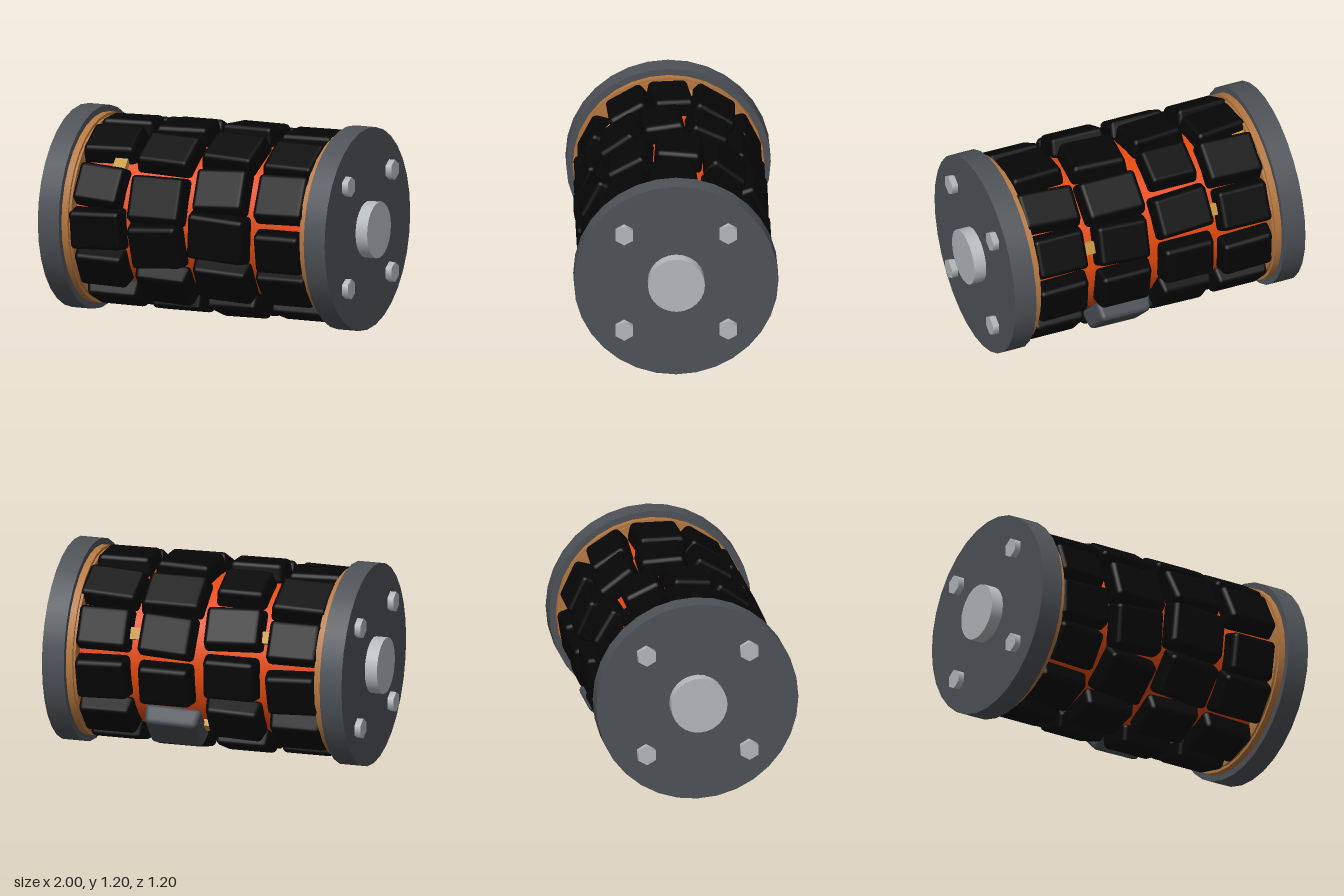
import * as THREE from 'three';
import { RoundedBoxGeometry } from 'three/addons/geometries/RoundedBoxGeometry.js';

const mat = (name, color) => Object.assign(new THREE.MeshStandardMaterial({ color }), { name });

export function createModel() {
  const steel = mat('darkSteel', 0x4e5257);
  const light = mat('lightSteel', 0xb4b9bc);
  const orange = mat('orangeCore', 0xe64a0e);
  const copper = mat('copper', 0xb5773f);
  const gold = mat('gold', 0xc9973f);
  const black = mat('blackRubber', 0x060606);
  const grey = mat('greyRubber', 0x484c51);

  const group = new THREE.Group();
  const drum = new THREE.Group();
  drum.name = 'drum';
  drum.position.y = 0.6;
  group.add(drum);

  const add = (name, geo, material) => {
    const mesh = new THREE.Mesh(geo, material);
    mesh.name = name;
    drum.add(mesh);
    return mesh;
  };
  // Cylinder lying along x between x0 and x1
  const rod = (name, r, x0, x1, sides, material, start = 0) => {
    const geo = new THREE.CylinderGeometry(r, r, x1 - x0, sides, 1, false, start);
    geo.rotateZ(-Math.PI / 2);
    return add(name, geo.translate((x0 + x1) / 2, 0, 0), material);
  };

  rod('core', 0.465, -0.78, 0.78, 32, orange);

  // End assemblies
  for (const s of [-1, 1]) {
    const side = (name, r, a, b, n, m, start) =>
      rod(name, r, Math.min(s * a, s * b), Math.max(s * a, s * b), n, m, start);
    side('flange', 0.6, 0.79, 0.925, 32, steel);
    side('ring', 0.545, 0.737, 0.78, 32, copper);
    side('ringLip', 0.562, 0.75, 0.792, 32, copper);
    side('shaft', 0.167, 0.9, 1, 24, light);
    for (const y of [-0.305, 0.305]) {
      for (const z of [-0.305, 0.305]) {
        side('bolt', 0.06, 0.9, 0.963, 6, light, Math.PI / 6).position.set(0, y, z);
      }
    }
  }

  // Places a part outside the core, at an angle measured upward from the front
  const onDrum = (mesh, x, degrees, r, twist = 0) => {
    const pivot = new THREE.Group();
    pivot.name = mesh.name + 'Mount';
    pivot.rotation.x = -THREE.MathUtils.degToRad(degrees);
    mesh.position.set(x, 0, r);
    mesh.rotation.z = twist;
    pivot.add(mesh);
    drum.add(pivot);
  };

  // Rounded pad that tapers toward its outer face at radius r
  const addPad = (name, material, x, r, [angle, w = 0.325, h = 0.25, twist = 0]) => {
    const geo = new RoundedBoxGeometry(w, h, 0.12, 2, 0.028);
    const p = geo.attributes.position;
    for (let i = 0; i < p.count; i++) {
      const k = 1 - p.getZ(i);
      p.setXY(i, p.getX(i) * k, p.getY(i) * k);
    }
    onDrum(add(name, geo, material), x, angle, r - 0.06, twist);
  };

  // Four uneven rings of pads: angle, width, height, twist
  const rings = [
    { x: -0.588, r: 0.553, pads: [
      [-33, 0.31, 0.24, -0.04], [-4, 0.34, 0.24, 0.04], [26, 0.3, 0.245, -0.07],
      [61, 0.33, 0.25, 0.05], [91, 0.33, 0.24, 0.12], [121, 0.35, 0.27, -0.03],
      [154], [189, 0.32, 0.25, 0.05], [224], [258], [293, 0.32, 0.25, -0.05]] },
    { x: -0.208, r: 0.563, pads: [
      [-45, 0.33, 0.27, -0.08], [-12, 0.33, 0.27, 0.07], [19, 0.35, 0.28, 0],
      [54, 0.345, 0.25, -0.05], [84, 0.33, 0.25, 0.09], [115, 0.3, 0.24, 0],
      [148, 0.35, 0.25, 0.05], [182], [215, 0.33, 0.26, -0.05], [248], [282]] },
    { x: 0.193, r: 0.567, pads: [
      [-36, 0.35, 0.26, -0.07], [-3, 0.37, 0.28, -0.06], [28, 0.33, 0.27, 0.05],
      [60, 0.34, 0.26, -0.07], [94, 0.34, 0.275, -0.06], [127, 0.37, 0.255, 0],
      [157, 0.33, 0.25, -0.05], [190], [256], [292, 0.33, 0.25, 0.06]] },
    { x: 0.585, r: 0.557, pads: [
      [-38, 0.33, 0.25, 0], [-10, 0.3, 0.245, 0], [27, 0.325, 0.285, 0.02],
      [57, 0.33, 0.25, -0.03], [89, 0.33, 0.285, 0.05], [124, 0.36, 0.24, -0.06],
      [155], [189, 0.32, 0.25, 0.04], [222], [255], [288, 0.33, 0.25, -0.04]] },
  ];
  for (const { x, r, pads } of rings) {
    for (const pad of pads) addPad('rubberPad', black, x, r, pad);
  }
  addPad('greyPad', grey, 0.175, 0.588, [225, 0.33, 0.27, -0.05]);

  // Gold tabs showing between the pads
  const tabs = [[-0.4, 152], [0.4, 157], [-0.7, 106], [-0.5, 43], [0.01, 229]];
  for (const [x, a] of tabs) {
    onDrum(add('goldTab', new THREE.BoxGeometry(0.08, 0.07, 0.06), gold), x, a, 0.475);
  }
  return group;
}
